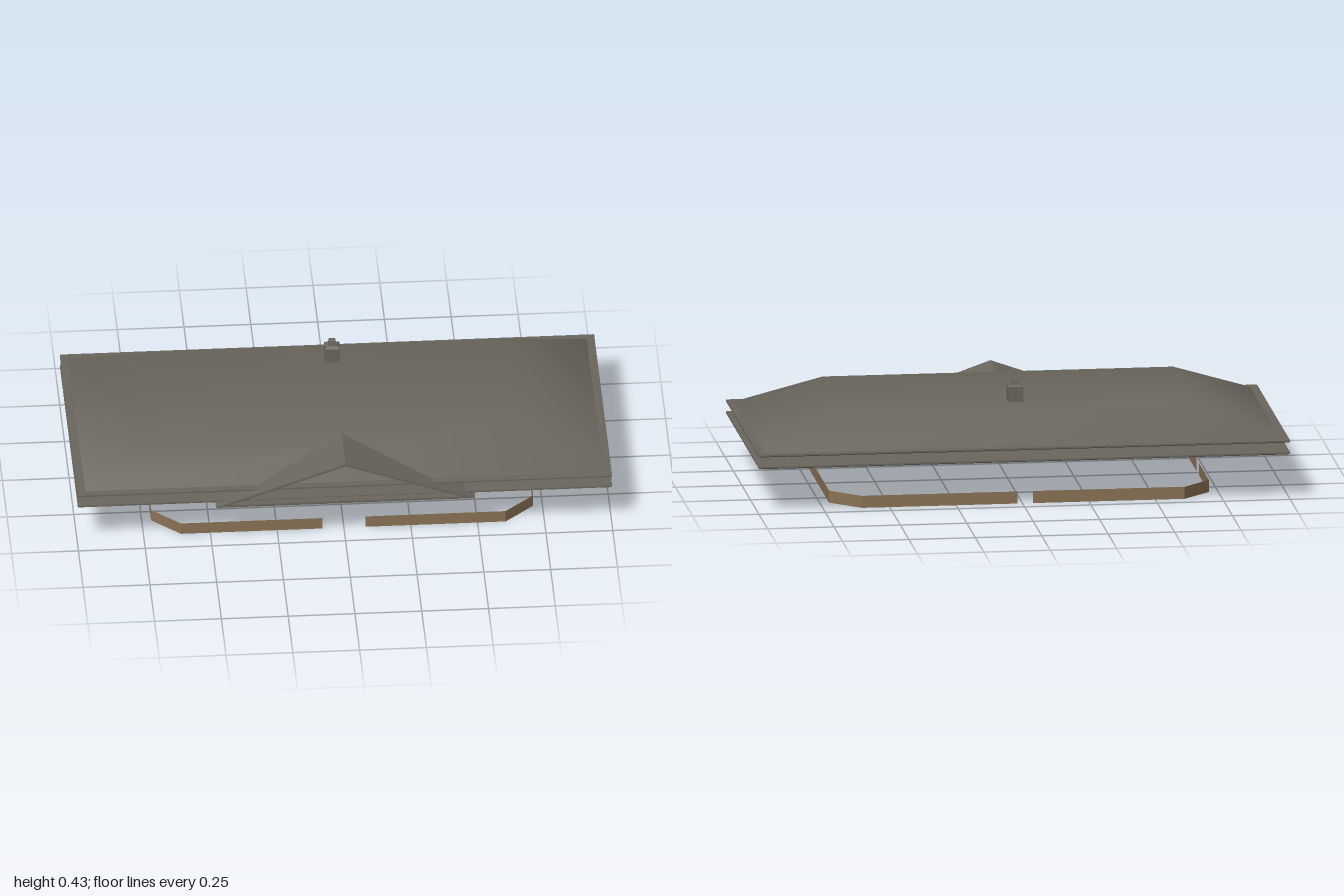
import * as THREE from 'three';

// Loft through rectangular rings [halfWidth, frontZ, backZ, y], optionally capped on top
function loft(rings, capped, smooth) {
  const pos = [], idx = [];
  for (const [w, f, b, y] of rings) pos.push(w, y, f, w, y, b, -w, y, b, -w, y, f);
  for (let r = 0; r < rings.length - 1; r++) {
    for (let i = 0; i < 4; i++) {
      const a = r * 4 + i, b = r * 4 + (i + 1) % 4;
      idx.push(a, b, b + 4, a, b + 4, a + 4);
    }
  }
  if (capped) {
    const t = (rings.length - 1) * 4;
    idx.push(t, t + 1, t + 2, t, t + 2, t + 3);
  }
  let g = new THREE.BufferGeometry();
  g.setAttribute('position', new THREE.Float32BufferAttribute(pos, 3));
  g.setIndex(idx);
  if (!smooth) g = g.toNonIndexed();
  g.computeVertexNormals();
  return g;
}

// Upright strip following a plan path of [x, z] points
function strip(path, height) {
  const pos = [], idx = [];
  for (const [x, z] of path) pos.push(x, 0, z, x, height, z);
  for (let i = 0; i < path.length - 1; i++) {
    const a = i * 2;
    idx.push(a, a + 2, a + 3, a, a + 3, a + 1);
  }
  let g = new THREE.BufferGeometry();
  g.setAttribute('position', new THREE.Float32BufferAttribute(pos, 3));
  g.setIndex(idx);
  g = g.toNonIndexed();
  g.computeVertexNormals();
  return g;
}

export function createModel() {
  const model = new THREE.Group();
  const slate = new THREE.MeshStandardMaterial({ color: 0x6b675e, side: THREE.DoubleSide });
  slate.name = 'slate grey';
  const wood = new THREE.MeshStandardMaterial({ color: 0x8b7355, side: THREE.DoubleSide });
  wood.name = 'wood brown';
  const add = (name, geometry, material) => {
    const mesh = new THREE.Mesh(geometry, material);
    mesh.name = name;
    model.add(mesh);
    return mesh;
  };

  // Hipped roof with a flat top, open underneath
  add('hippedRoof', loft([
    [0.97, 0.44, -0.47, 0.224],
    [0.66, 0.28, -0.31, 0.345],
  ], true, true), slate);

  // Thin eave around the foot of the roof
  add('upperEave', loft([
    [0.97, 0.44, -0.47, 0.215],
    [0.985, 0.46, -0.49, 0.215],
    [1, 0.47, -0.5, 0.219],
    [1, 0.47, -0.5, 0.225],
    [0.97, 0.44, -0.47, 0.225],
  ]), slate);

  // Lower eave plate with a wide opening in the middle
  add('lowerEave', loft([
    [0.66, 0.28, -0.31, 0.17],
    [0.985, 0.46, -0.49, 0.17],
    [1, 0.47, -0.5, 0.174],
    [1, 0.47, -0.5, 0.18],
    [0.66, 0.28, -0.31, 0.18],
    [0.66, 0.28, -0.31, 0.17],
  ]), slate);

  // Hollow triangular gable over the front
  const triangle = new THREE.Shape([
    new THREE.Vector2(-0.485, 0.168), new THREE.Vector2(0.485, 0.168), new THREE.Vector2(0, 0.34),
  ]);
  triangle.holes.push(new THREE.Path([
    new THREE.Vector2(-0.435, 0.177), new THREE.Vector2(0, 0.331), new THREE.Vector2(0.435, 0.177),
  ]));
  const gable = new THREE.ExtrudeGeometry(triangle, { depth: 0.246, bevelEnabled: false });
  add('frontGable', gable.translate(0, 0, 0.254), slate);

  // Chimney stack with sloped shoulder and small pot
  const chimney = add('chimney', loft([
    [0.028, 0.027, -0.027, 0.343],
    [0.028, 0.027, -0.027, 0.402],
    [0.018, 0.017, -0.017, 0.409],
    [0.015, 0.015, -0.015, 0.409],
    [0.012, 0.012, -0.012, 0.428],
  ], true), slate);
  chimney.position.z = -0.22;

  // Low wooden band with cut corners and gaps at the front, back and right side
  const bands = {
    leftBand: [[0.08, 0.41], [0.605, 0.41], [0.715, 0.31], [0.715, -0.335], [0.605, -0.44], [0.02, -0.44]],
    rightBackBand: [[-0.04, -0.44], [-0.61, -0.44], [-0.715, -0.335], [-0.715, -0.04]],
    rightFrontBand: [[-0.715, 0.03], [-0.715, 0.31], [-0.61, 0.41], [-0.08, 0.41]],
  };
  for (const [name, path] of Object.entries(bands)) add(name, strip(path, 0.046), wood);

  return model;
}
